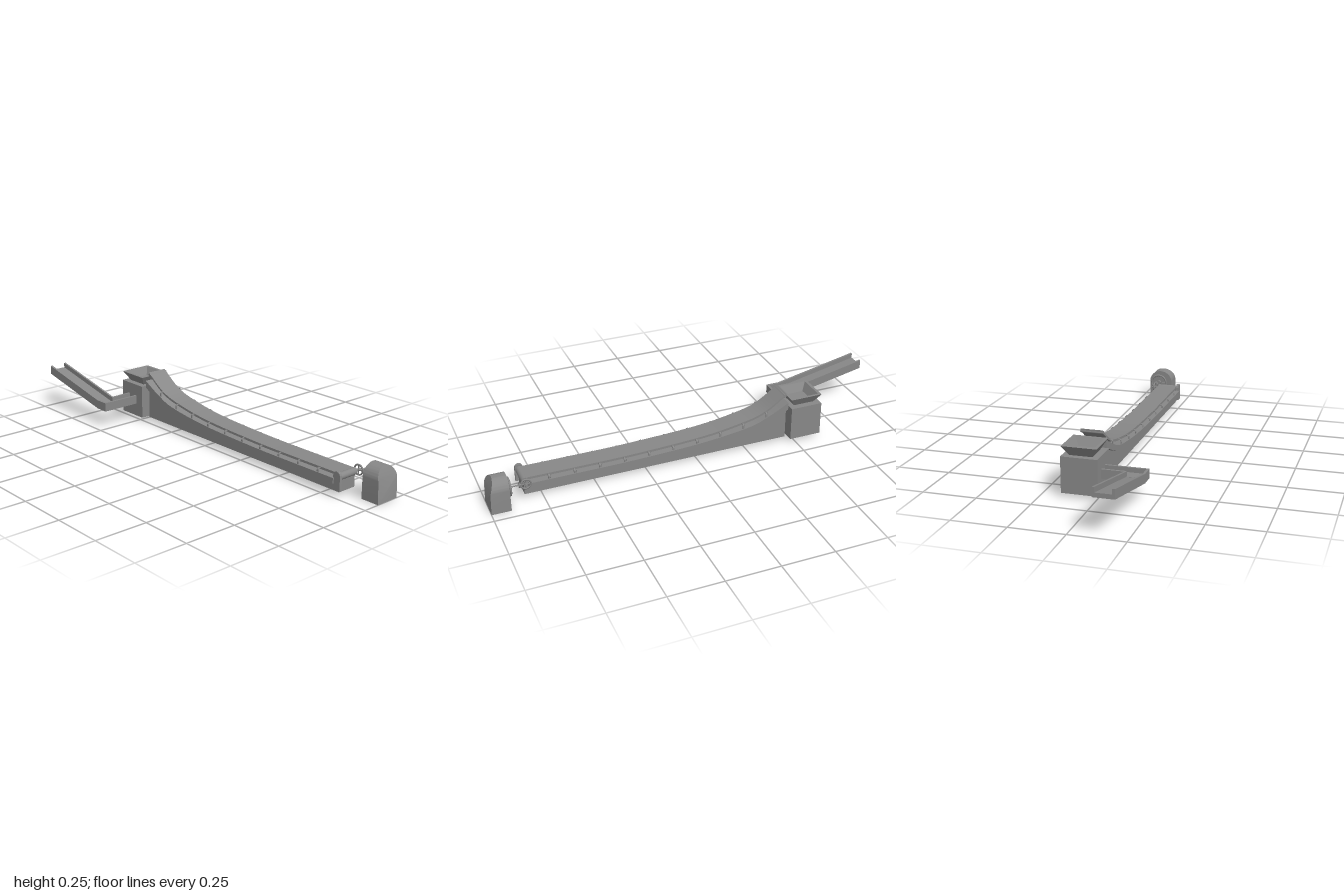
import * as THREE from 'three';
import { toCreasedNormals } from 'three/addons/utils/BufferGeometryUtils.js';

const mat = new THREE.MeshStandardMaterial({ color: 0x888888, side: THREE.DoubleSide });
const ZC = -0.077; // centre line of the conveyor

const V = (x, y) => new THREE.Vector2(x, y);

// Points of a smooth profile line through a few control points
const profile = (pts) => new THREE.SplineCurve(pts.map(([x, y]) => V(x, y))).getPoints(40);

const beltLine = profile([[-0.457, 0.255], [-0.34, 0.178], [-0.2, 0.142], [0, 0.117], [0.33, 0.104], [0.6, 0.103], [0.82, 0.104]]);
const trayTop = profile([[-0.46, 0.215], [-0.36, 0.163], [-0.25, 0.125], [0, 0.096], [0.33, 0.084], [0.6, 0.083], [0.81, 0.083]]);
const trayLow = profile([[-0.46, 0.178], [-0.36, 0.133], [-0.25, 0.098], [0, 0.071], [0.33, 0.06], [0.6, 0.058], [0.81, 0.058]]);

function heightAt(line, x) {
  const i = Math.max(1, line.findIndex((p) => p.x >= x));
  const a = line[i - 1], b = line[i];
  return a.y + (b.y - a.y) * (x - a.x) / (b.x - a.x);
}

export function createModel() {
  const model = new THREE.Group();

  function add(name, geo, x = 0, y = 0, z = 0, parent = model) {
    const m = new THREE.Mesh(geo, mat);
    m.name = name;
    m.position.set(x, y, z);
    parent.add(m);
    return m;
  }
  const box = (name, x0, x1, y0, y1, z0, z1) =>
    add(name, new THREE.BoxGeometry(x1 - x0, y1 - y0, z1 - z0), (x0 + x1) / 2, (y0 + y1) / 2, (z0 + z1) / 2);
  // Outline in x and y, extruded from z0 to z1
  function slab(name, outline, z0, z1) {
    const shape = outline instanceof THREE.Shape ? outline : new THREE.Shape(outline);
    const geo = new THREE.ExtrudeGeometry(shape, { depth: z1 - z0, bevelEnabled: false, curveSegments: 12 });
    return add(name, toCreasedNormals(geo, 0.6), 0, 0, z0);
  }

  // Narrow conveyor bed under a wider overhanging tray
  slab('conveyorBed', [V(-0.46, 0.018), V(0.83, 0.018), V(0.83, 0.073), ...trayTop.map((p) => V(p.x, p.y - 0.01)).reverse()], -0.125, -0.029);
  slab('tray', [...trayLow, ...trayTop.slice().reverse()], -0.147, -0.008);

  // Belt, with a drum at each end
  const underside = beltLine.map((p) => V(p.x, p.y - 0.011)).reverse();
  slab('belt', [...beltLine, ...underside], -0.127, -0.027);
  for (const [name, x, y, r] of [['headDrum', -0.451, 0.243, 0.007], ['tailDrum', 0.825, 0.089, 0.017]]) {
    add(name, new THREE.CylinderGeometry(r, r, 0.104, 20), x, y, ZC).rotation.x = Math.PI / 2;
  }

  // Hooked belt brackets along both edges
  for (const s of [1, -1]) {
    for (let i = 0; i < 10; i++) {
      const x = -0.35 + i * 0.1185;
      const y = heightAt(beltLine, x) - 0.006, foot = heightAt(trayTop, x) - 0.003;
      const pts = [[y, 0.046], [y + 0.002, 0.055], [y - 0.004, 0.062], [foot, 0.062]]
        .map(([py, pz]) => new THREE.Vector3(0, py, s * pz));
      const path = new THREE.CurvePath();
      for (let k = 0; k < 3; k++) path.add(new THREE.LineCurve3(pts[k], pts[k + 1]));
      add('beltBracket', new THREE.TubeGeometry(path, 9, 0.003, 6).scale(2, 1, 1), x, 0, ZC);
    }
  }

  // Round-topped bearing plate at the low end
  const plate = new THREE.Shape();
  plate.moveTo(0.806, 0.03);
  plate.lineTo(0.844, 0.03);
  plate.lineTo(0.844, 0.096);
  plate.absarc(0.825, 0.096, 0.019, 0, Math.PI, false);
  slab('bearingPlate', plate, -0.027, -0.014);

  // Spoked wheel facing z
  function wheel(name, r, tube, x, y, z) {
    const g = new THREE.Group();
    g.name = name;
    g.position.set(x, y, z);
    add('rim', new THREE.TorusGeometry(r - tube, tube, 8, 24), 0, 0, 0, g);
    add('hub', new THREE.CylinderGeometry(r * 0.25, r * 0.25, tube * 3, 12), 0, 0, 0, g).rotation.x = Math.PI / 2;
    for (let i = 0; i < 2; i++) {
      add('spoke', new THREE.BoxGeometry(2 * (r - tube), tube, tube), 0, 0, 0, g).rotation.z = i * Math.PI / 2;
    }
    model.add(g);
    return g;
  }

  // Drive: gear on the drum axle, shaft and wheel toward the motor
  add('drumAxle', new THREE.CylinderGeometry(0.004, 0.004, 0.05, 10), 0.827, 0.088, -0.142).rotation.x = Math.PI / 2;
  wheel('drumGear', 0.027, 0.004, 0.827, 0.088, -0.152);
  wheel('shaftGear', 0.014, 0.003, 0.858, 0.092, -0.155).rotation.y = Math.PI / 2;
  add('driveShaft', new THREE.CylinderGeometry(0.0035, 0.0035, 0.075, 10), 0.885, 0.092, -0.155).rotation.z = Math.PI / 2;
  wheel('motorWheel', 0.045, 0.005, 0.903, 0.094, -0.15).rotation.y = Math.PI / 2;

  // Arched motor housing, its far side leaning in toward the top
  const arch = new THREE.Shape();
  arch.moveTo(-0.0605, 0);
  arch.lineTo(0.0605, 0);
  arch.lineTo(0.0605, 0.1);
  arch.absellipse(0, 0.1, 0.0605, 0.057, 0, Math.PI, false, 0);
  const housing = new THREE.ExtrudeGeometry(arch, { depth: 0.09, bevelEnabled: false, curveSegments: 20 });
  housing.rotateY(Math.PI / 2);
  const hp = housing.attributes.position;
  for (let i = 0; i < hp.count; i++) {
    if (hp.getX(i) > 0.05) hp.setX(i, 0.09 - 0.6 * Math.max(0, hp.getY(i) - 0.1) ** 1.2 - 0.04 * hp.getY(i));
  }
  add('motorHousing', toCreasedNormals(housing, 0.6), 0.91, 0, -0.141);

  // Feed box with a straight-flared square hopper
  box('feedBox', -0.632, -0.474, 0.018, 0.183, -0.159, 0.007);
  const q = Math.SQRT2;
  const hopper = new THREE.LatheGeometry(
    [V(0, 0.18), V(0.05 * q, 0.18), V(0.08 * q, 0.229), V(0.067 * q, 0.229), V(0.044 * q, 0.192), V(0, 0.192)], 4);
  hopper.rotateY(Math.PI / 4);
  add('hopper', toCreasedNormals(hopper, 0.2), -0.552, 0, -0.076);

  // Discharge chute: level leg from the box, then a rising trough
  box('chuteLegFloor', -0.585, -0.52, 0.083, 0.104, 0, 0.202);
  box('chuteLegOuterWall', -0.53, -0.52, 0.083, 0.126, 0, 0.202);
  box('chuteLegInnerWall', -0.585, -0.575, 0.083, 0.126, 0, 0.118);
  box('chuteCornerWall', -0.585, -0.52, 0.083, 0.126, 0.191, 0.202);
  const rise = (h) => [V(-1, 0.17), V(-0.585, 0.083), V(-0.585, 0.083 + h), V(-1, 0.17 + h)];
  slab('chuteFloor', rise(0.02), 0.108, 0.202);
  slab('chuteFrontWall', rise(0.043), 0.191, 0.202);
  slab('chuteBackWall', rise(0.043), 0.108, 0.118);

  return model;
}
